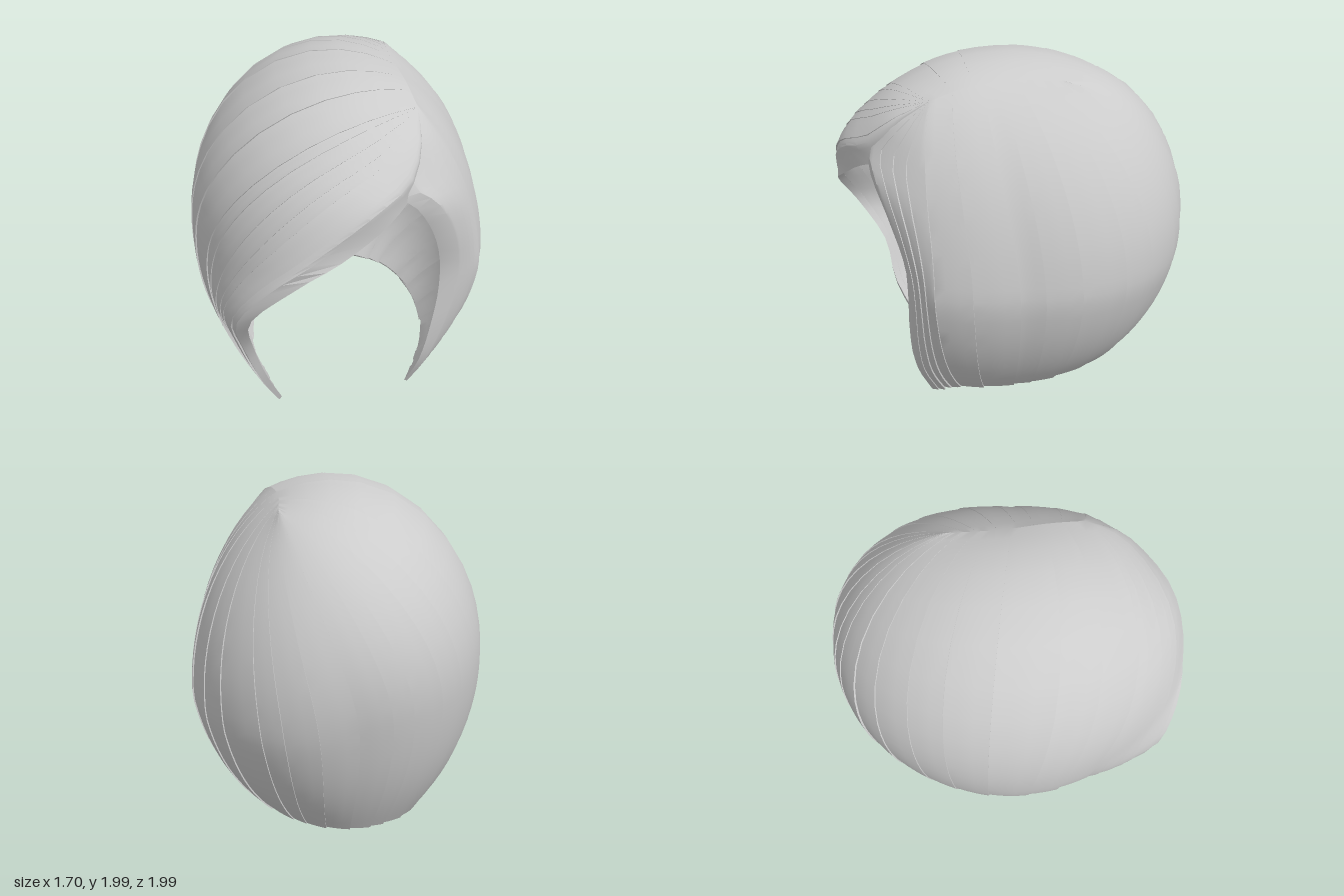
import * as THREE from 'three';
import { toCreasedNormals } from 'three/addons/utils/BufferGeometryUtils.js';

const V = (x, y, z) => new THREE.Vector3(x, y, z);
const RX = 0.85; // half width of the head ellipsoid, centred on y = 1
const ROWS = 26;
const { lerp, clamp } = THREE.MathUtils;

// world <-> unit-sphere space of the head
const toUnit = ([x, y, z]) => V(x / RX, y - 1, z);
const toWorld = (dir, len) => [dir.x * len * RX, Math.max(0, 1 + dir.y * len), dir.z * len];
const curve = (pts) => new THREE.CatmullRomCurve3(pts.map(toUnit));

// off-centre parting, back to front
const parting = curve([[0.33, 1.9, -0.28], [0.32, 1.915, 0], [0.35, 1.895, 0.26], [0.38, 1.84, 0.45]]);

// edges of the face opening, parting to tip
const fringeEdge = curve([
  [0.38, 1.84, 0.45], [0.37, 1.71, 0.64], [0.31, 1.57, 0.77], [0.13, 1.48, 0.91], [-0.2, 1.27, 0.985],
  [-0.42, 1.1, 0.96], [-0.6, 0.84, 0.86], [-0.57, 0.55, 0.73], [-0.49, 0.3, 0.69], [-0.39, 0, 0.55],
]);
const leftEdge = curve([
  [0.38, 1.84, 0.45], [0.37, 1.71, 0.64], [0.31, 1.57, 0.77], [0.45, 1.44, 0.75], [0.57, 1.2, 0.67],
  [0.62, 0.95, 0.61], [0.61, 0.75, 0.6], [0.55, 0.5, 0.6], [0.47, 0.25, 0.58], [0.39, 0.03, 0.5],
]);

const edgeStrand = (edge, t) => {
  const p = edge.getPointAt(t);
  return { len: p.length(), dir: p.normalize() };
};

// a strand from the parting over the widest ring to the hem, at azimuth deg
function bodyStrand(deg, t) {
  const a = THREE.MathUtils.degToRad(deg), s = Math.sin(a), c = Math.cos(a);
  const around = Math.acos(c) * 180 / Math.PI;
  const top = parting.getPoint(clamp((180 - around) / 118, 0, 1) ** 2.4);
  const hem = toUnit([0.54 * s, 0.03 + 0.065 * (1 - c) + 0.035 * s, 0.7 * c]);
  const path = new THREE.CatmullRomCurve3(
    [top.clone().normalize(), V(s, 0, c), hem.clone().normalize()]);
  // fuller behind the left ear, dipping beside the parting, tucked in at the nape
  const left = Math.max(0, s), rear = Math.max(0, -c);
  const ring = 1 + left * (0.18 * rear + 0.07 * Math.max(0, c)) - 0.02 * rear;
  const side = -0.062 * left - 0.01 * Math.max(0, -s);
  const len = t < 0.5
    ? lerp(top.length(), ring, THREE.MathUtils.smoothstep(t * 2, 0, 1))
    : lerp(ring, hem.length(), (t * 2 - 1) ** 2);
  return {
    dir: path.getPoint(t).normalize(),
    len: len + side * Math.sin(Math.PI * Math.min(1, t * 1.7)) + 0.03 * rear * Math.sin(2 * Math.PI * t),
  };
}

// u: 0..1 fringe, 1..2 round the back, 2..3 left front
function strand(u, t) {
  if (u >= 1 && u <= 2) return bodyStrand(lerp(-62, -298, u - 1), t);
  const [edge, deg, k] = u < 1 ? [fringeEdge, -62, u] : [leftEdge, -298, 3 - u];
  const e = edgeStrand(edge, t), b = bodyStrand(deg, t);
  // the swept fringe swells above its edge
  const swell = u > 0 && u < 1 && t < 0.5
    ? 0.04 * Math.sin(Math.PI * Math.sqrt(u)) * Math.sin(2 * Math.PI * t) : 0;
  return { dir: e.dir.lerp(b.dir, k).normalize(), len: lerp(e.len, b.len, k) + swell };
}

function hairGeometry() {
  let seed = 7;
  const rand = () => (seed = (seed * 16807) % 2147483647) / 2147483647;

  // uneven lock boundaries
  const bounds = [0];
  for (const [from, count] of [[0, 6], [1, 20], [2, 4]]) {
    for (let i = 1; i <= count; i++) {
      bounds.push(from + (i + (i < count ? (rand() - 0.5) * 0.5 : 0)) / count);
    }
  }

  // outer columns: each lock slopes down to a small step against the next
  const columns = [], lockCount = bounds.length - 1;
  for (let i = 0; i < lockCount; i++) {
    const tip = i === 0 || i === lockCount - 1;
    const end = tip ? 1 : 1 - 0.018 * rand(), step = 0.005 + 0.006 * rand();
    for (const k of [0, 0.35, 0.7, 1]) {
      columns.push({ u: lerp(bounds[i], bounds[i + 1], k), end, lift: step * (1 - k), inner: false });
    }
  }
  // smooth lining, running back the other way
  const outerCount = columns.length;
  for (let i = outerCount - 1; i >= 0; i--) {
    columns.push({ u: columns[i].u, end: columns[i].end, lift: 0, inner: true });
  }

  const positions = [], index = [], n = columns.length;
  for (let r = 0; r <= ROWS; r++) {
    for (const col of columns) {
      const t = (r / ROWS) * col.end;
      // the lining reaches into the face opening, most at cheek height
      const reach = col.inner ? 0.06 + 0.2 * Math.sin(Math.PI * t) ** 2 : 0;
      const { dir, len } = strand(lerp(-reach, 3 + 2 * reach, col.u / 3), t);
      const offset = col.inner ? -lerp(0.06, 0.025, t * t) : col.lift * Math.min(1, t * 3);
      positions.push(...toWorld(dir, len + offset));
    }
  }
  const quad = (a, b, c, d) => index.push(a, b, c, a, c, d);
  for (let r = 0; r < ROWS; r++) {
    for (let c = 0; c < n; c++) {
      const d = (c + 1) % n;
      quad(r * n + c, r * n + d, (r + 1) * n + d, (r + 1) * n + c);
    }
  }
  // hem between the outer hair and the lining
  const last = ROWS * n;
  for (let c = 0; c + 1 < outerCount; c++) {
    quad(last + c, last + c + 1, last + n - 2 - c, last + n - 1 - c);
  }

  const geometry = new THREE.BufferGeometry();
  geometry.setAttribute('position', new THREE.Float32BufferAttribute(positions, 3));
  geometry.setIndex(index);
  return toCreasedNormals(geometry, 0.6);
}

export function createModel() {
  const group = new THREE.Group();
  group.name = 'bobHair';
  const material = new THREE.MeshStandardMaterial({ color: 0xcccccc, side: THREE.DoubleSide });
  material.name = 'light grey';
  const hair = new THREE.Mesh(hairGeometry(), material);
  hair.name = 'hairShell';
  group.add(hair);
  return group;
}
